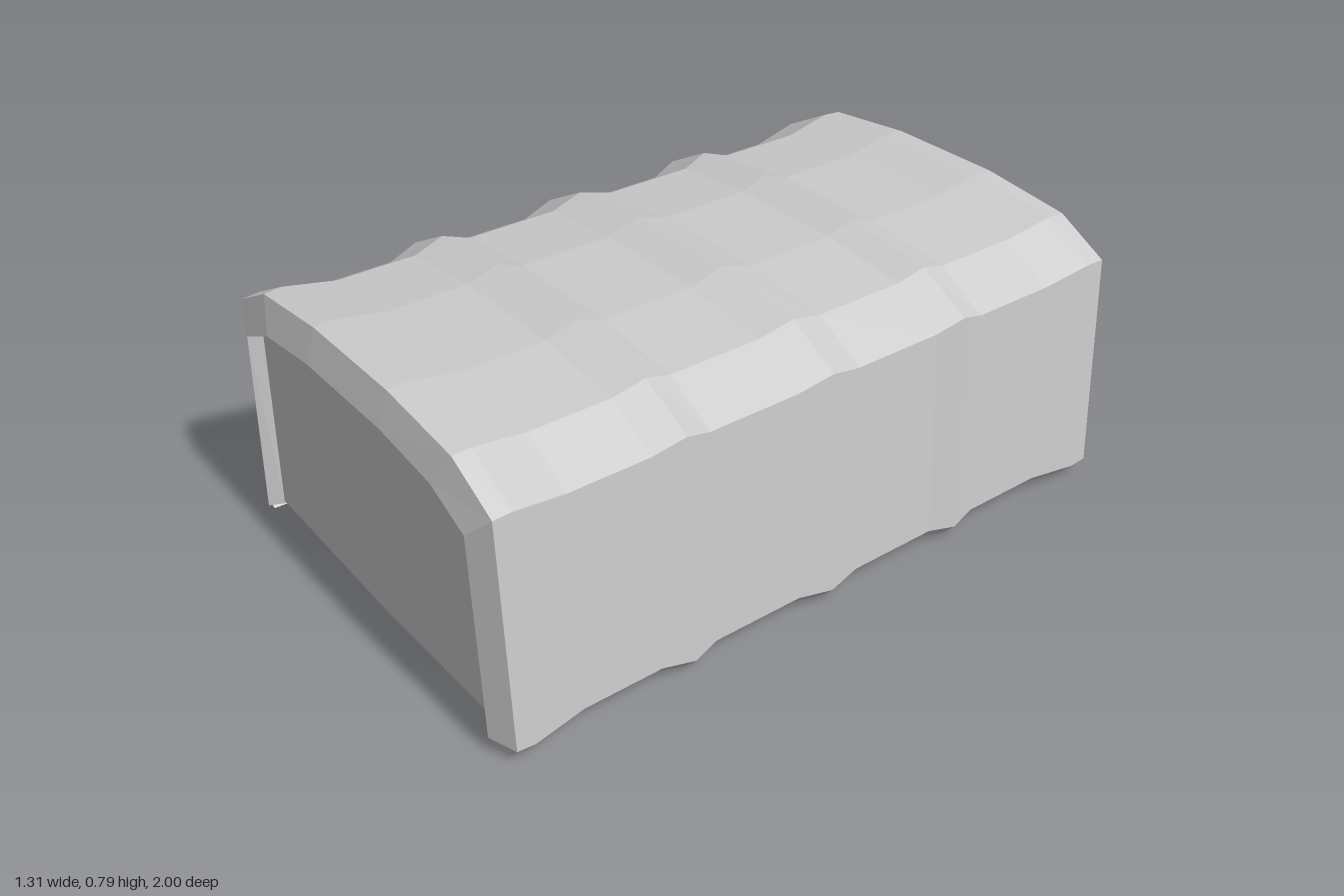
import * as THREE from 'three';

const mat = new THREE.MeshStandardMaterial({ color: 0xcccccc, flatShading: true, side: THREE.DoubleSide });

// Half profiles from the hem to the crown, for the sagging cloth, the ribs and the end lips
const SAG = [[0.602, 0.017], [0.637, 0.053], [0.6, 0.655], [0.45, 0.738], [0.18, 0.765]];
const RIB = [[0.617, 0], [0.655, 0.042], [0.616, 0.682], [0.46, 0.764], [0.18, 0.794]];
const LIP_FRONT = [[0.61, 0.042], [0.575, 0.048], [0.54, 0.61], [0.403, 0.672], [0.18, 0.698]];
const LIP_BACK = [[0.617, 0], [0.557, 0.05], [0.53, 0.602], [0.4, 0.654], [0.18, 0.68]];

const blend = (p, q, t) => p.map(([x, y], i) => [x + (q[i][0] - x) * t, y + (q[i][1] - y) * t]);
const EDGE = blend(SAG, RIB, 0.85);

// Inner face of the cloth, rising straight from the hem
const LINING = [[0, 0], [-0.03, -0.015], [-0.02, -0.02], [0, -0.02]];
const inside = ([hem, , ...rest]) => [hem, ...rest].map(([x, y], i) =>
  [x + LINING[i][0], y + LINING[i][1]]);

// Complete a half profile to an arch running from -x to +x
const arch = half => [...half.map(([x, y]) => [-x, y]), ...[...half].reverse()];

// Ring of points at depth z; the hem points may sit at their own depth
const ring = ([half, z, hemZ = z]) => arch(half).map(([x, y], i, all) =>
  [x, y, i === 0 || i === all.length - 1 ? hemZ : z]);

// Skin stretched over a row of rings
function skin(stations) {
  const rings = stations.map(ring);
  const n = rings[0].length;
  const index = [];
  for (let s = 0; s < rings.length - 1; s++) {
    for (let k = 0; k < n - 1; k++) {
      const a = s * n + k, b = a + 1;
      index.push(a, b, b + n, a, b + n, a + n);
    }
  }
  const geo = new THREE.BufferGeometry();
  geo.setAttribute('position', new THREE.Float32BufferAttribute(rings.flat(2), 3));
  geo.setIndex(index);
  geo.computeVertexNormals();
  return geo;
}

// Cloth with three ribs between the end hoops
const cloth = [
  [EDGE, 0.97], [RIB, 0.92], [SAG, 0.77],
  [SAG, 0.54], [RIB, 0.45], [SAG, 0.37],
  [SAG, 0.1], [RIB, 0], [SAG, -0.1],
  [SAG, -0.37], [RIB, -0.45], [SAG, -0.53],
  [SAG, -0.78], [RIB, -0.93], [EDGE, -0.987],
];
// The lining runs from back to front so that it faces inwards
const lining = cloth.slice(1, -1).reverse().map(([half, z]) => [inside(half), z]);

// End hoops: the cloth edge turned inwards and folded back under itself
const frontHoop = [[RIB, 0.92], [LIP_BACK, 0.96, 0.92], [LIP_FRONT, 1, 0.985], [EDGE, 0.97]];
const backHoop = [[EDGE, -0.987], [LIP_FRONT, -1, -0.993], [LIP_BACK, -0.965, -0.93], [RIB, -0.93]];

// Front panel reaching the lining, its lower edge dipping slightly in the middle
function panelGeometry() {
  const [hem, ...rest] = inside(RIB);
  const outline = arch([[hem[0] - 0.003, 0.05], ...rest]).map(([x, y]) => new THREE.Vector2(x, y));
  const shape = new THREE.Shape([...outline, new THREE.Vector2(0, 0.034)]);
  const geo = new THREE.ExtrudeGeometry(shape, { depth: 0.04, bevelEnabled: false });
  return geo.translate(0, 0, 0.915);
}

export function createModel() {
  const group = new THREE.Group();
  group.name = 'wagonCover';
  const add = (name, geo) => {
    const mesh = new THREE.Mesh(geo, mat);
    mesh.name = name;
    group.add(mesh);
  };
  add('ribbedCanopy', skin(cloth));
  add('canopyLining', skin(lining));
  add('frontHoop', skin(frontHoop));
  add('backHoop', skin(backHoop));
  add('frontPanel', panelGeometry());
  return group;
}
